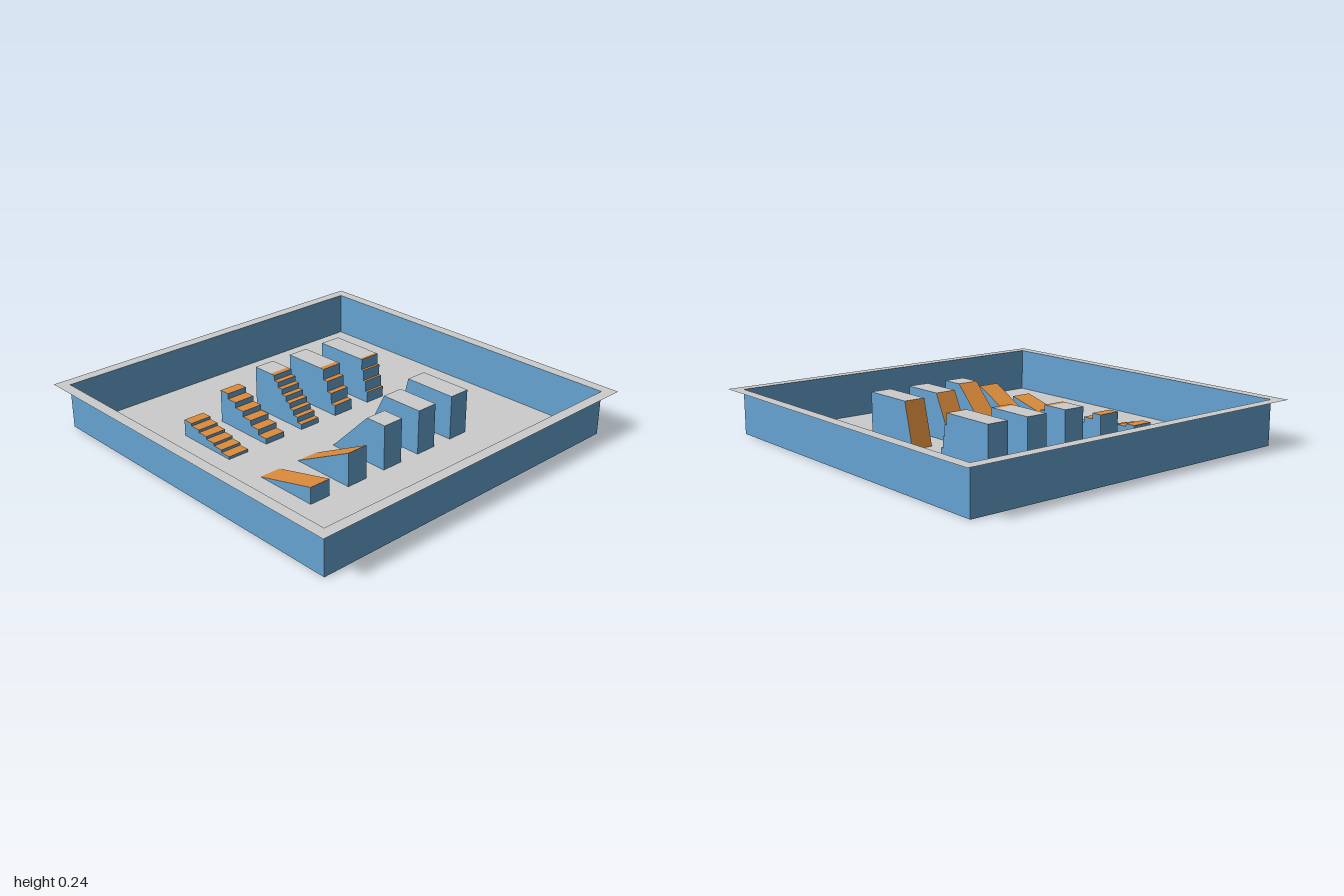
import * as THREE from 'three';

const U = 2 / 17; // one layout unit

const makeMaterial = (name, color) => {
  const m = new THREE.MeshStandardMaterial({ color, side: THREE.DoubleSide });
  m.name = name;
  return m;
};

export function createModel() {
  const grey = makeMaterial('level grey', 0xcccccc);
  const blue = makeMaterial('wall blue', 0x66a3d2);
  const orange = makeMaterial('slope orange', 0xdd8c3c);

  const model = new THREE.Group();
  model.name = 'slopeTestTray';

  const add = (parent, name, geometry, material) => {
    const mesh = new THREE.Mesh(geometry, material);
    mesh.name = name;
    parent.add(mesh);
    return mesh;
  };

  const squarePath = (Type, half) => new Type([
    new THREE.Vector2(-half, -half), new THREE.Vector2(half, -half),
    new THREE.Vector2(half, half), new THREE.Vector2(-half, half),
  ]);

  // Tray: sheet floor, four upright walls and an outward rim
  const tray = new THREE.Group();
  tray.name = 'tray';
  model.add(tray);
  add(tray, 'floor', new THREE.PlaneGeometry(16 * U, 16 * U).rotateX(-Math.PI / 2), grey);
  for (let i = 0; i < 4; i++) {
    const wall = new THREE.PlaneGeometry(16 * U, 2 * U)
      .translate(0, U, 8 * U).rotateY(i * Math.PI / 2);
    add(tray, 'wall', wall, blue);
  }
  const rim = squarePath(THREE.Shape, 8.5 * U);
  rim.holes.push(squarePath(THREE.Path, 8 * U));
  add(tray, 'rim', new THREE.ShapeGeometry(rim).rotateX(-Math.PI / 2).translate(0, 2 * U, 0), grey);

  // Sheet joining profile segments across the block's depth
  const strip = (segments, z0, z1) => {
    const pos = [];
    for (const [a, b] of segments) {
      pos.push(a.x, a.y, z1, b.x, b.y, z1, b.x, b.y, z0);
      pos.push(a.x, a.y, z1, b.x, b.y, z0, a.x, a.y, z0);
    }
    const g = new THREE.BufferGeometry();
    g.setAttribute('position', new THREE.Float32BufferAttribute(pos, 3));
    g.computeVertexNormals();
    return g;
  };

  // Block with a ramp (steps = 0) or a staircase on its inner side
  const addBlock = (name, side, run, height, steps, z0) => {
    const raw = [[0, 0]];
    for (let i = 0; i < steps; i++) {
      const y = (i + 1) * height / steps;
      raw.push([i * run / steps, y], [(i + 1) * run / steps, y]);
    }
    if (!steps) raw.push([run, height]);
    if (run < 3) raw.push([3, height]);
    raw.push([3, 0]);

    // Sort the segments by their slope and use
    const parts = { sides: [], top: [], climb: [] };
    const points = raw.map(([t, y]) => new THREE.Vector2(side * (1 + t) * U, y * U));
    for (let i = 0; i + 1 < raw.length; i++) {
      const [t0] = raw[i], [t1] = raw[i + 1];
      const kind = t0 === t1 ? 'sides' : t0 >= run ? 'top' : 'climb';
      parts[kind].push(side > 0 ? [points[i], points[i + 1]] : [points[i + 1], points[i]]);
    }

    const block = new THREE.Group();
    block.name = name;
    model.add(block);
    const z1 = z0 + U;
    add(block, 'uprightFaces', strip(parts.sides, z0, z1), blue);
    if (parts.top.length) add(block, 'topFace', strip(parts.top, z0, z1), grey);
    add(block, steps ? 'stairTreads' : 'rampFace', strip(parts.climb, z0, z1), orange);
    const cheek = new THREE.ShapeGeometry(new THREE.Shape(points));
    add(block, 'frontCheek', cheek, blue).position.z = z1;
    add(block, 'backCheek', cheek, blue).position.z = z0;
  };

  // Five gradients from steep to shallow: run, height, step count
  const gradients = [[0.5, 2, 4], [1, 2, 4], [2, 2, 8], [3, 1.5, 6], [3, 0.75, 6]];
  gradients.forEach(([run, height, steps], i) => {
    const z0 = (-4 + 2 * i) * U;
    addBlock('rampBlock', 1, run, height, 0, z0);
    addBlock('stairBlock', -1, run, height, steps, z0);
  });

  return model;
}
